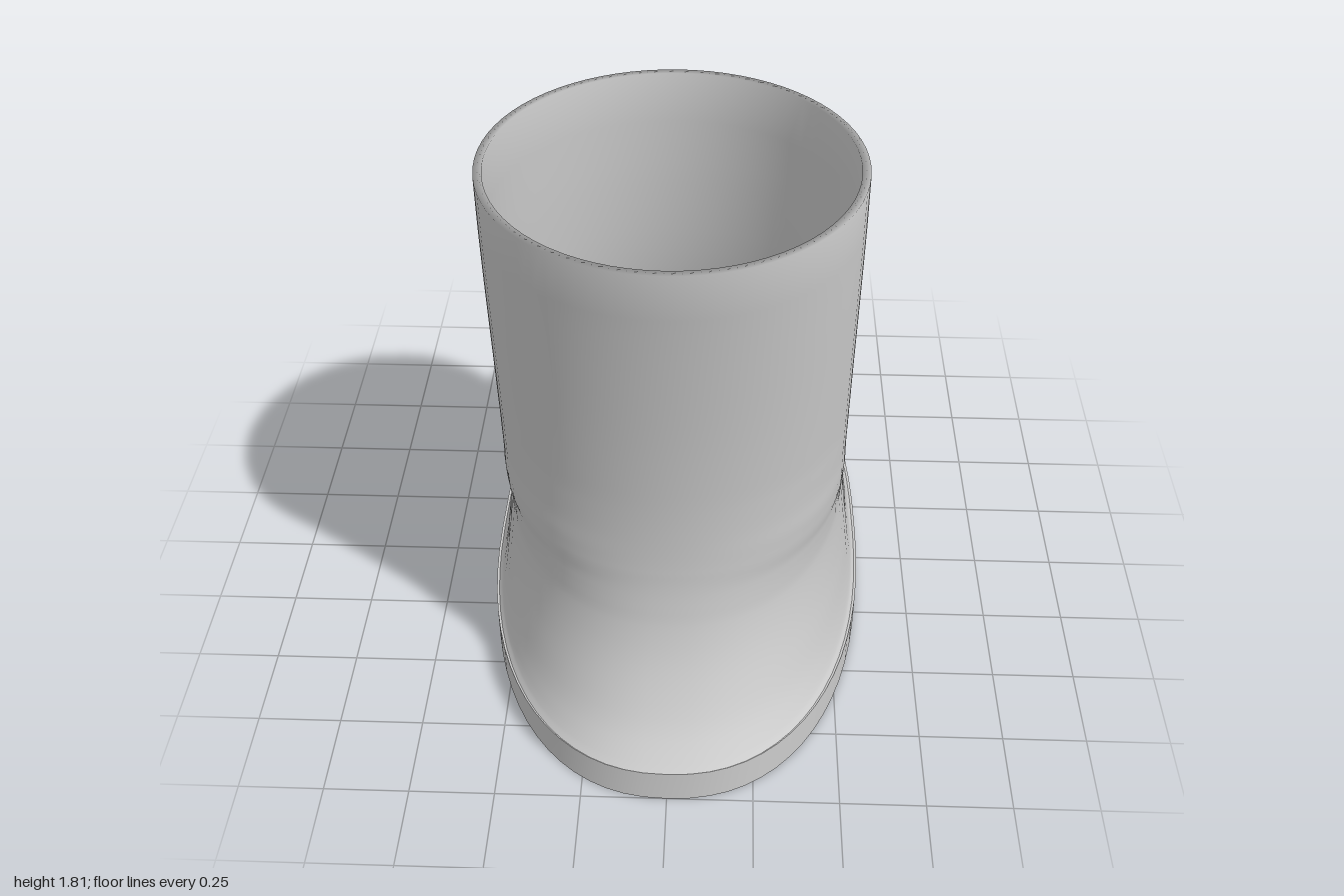
import * as THREE from 'three';
import { mergeGeometries } from 'three/addons/utils/BufferGeometryUtils.js';

const SEG = 72;

// Horizontal oval: toe end, heel end, half width, widest z, toe and heel roundness
function ring(y, toe, heel, w, mid, pToe, pHeel) {
  const pts = [];
  for (let i = 0; i < SEG; i++) {
    const a = (i / SEG) * Math.PI * 2, c = Math.cos(a), s = Math.sin(a);
    const e = 2 / (s < 0 ? pToe : pHeel);
    const reach = s < 0 ? toe - mid : heel - mid;
    pts.push([
      w * Math.sign(c) * Math.abs(c) ** e, y,
      mid + reach * Math.abs(s) ** e,
    ]);
  }
  return pts;
}

const centre = (y, z = 0) => Array.from({ length: SEG }, () => [0, y, z]);

// Skin joining a list of rings
function loft(rings) {
  const index = [];
  for (let r = 0; r < rings.length - 1; r++) {
    for (let i = 0; i < SEG; i++) {
      const j = (i + 1) % SEG, a = r * SEG + i, b = r * SEG + j;
      index.push(a, a + SEG, b, b, a + SEG, b + SEG);
    }
  }
  const g = new THREE.BufferGeometry();
  g.setAttribute('position', new THREE.Float32BufferAttribute(rings.flat(2), 3));
  g.setIndex(index);
  g.computeVertexNormals();
  return g;
}

// Profile rows: y, toe z, heel z, half width, widest z, toe roundness
const ROWS = [
  [0.11, -0.985, 1.0, 0.582, 0, 2.7],
  [0.13, -0.97, 0.98, 0.57, 0, 2.7],
  [0.2, -0.96, 0.92, 0.556, 0, 2.7],
  [0.3, -0.955, 0.865, 0.543, 0, 2.7],
  [0.4, -0.94, 0.825, 0.53, 0.02, 2.7],
  [0.5, -0.9, 0.8, 0.518, 0.06, 2.7],
  [0.56, -0.86, 0.792, 0.513, 0.11, 2.65],
  [0.6, -0.81, 0.788, 0.51, 0.15, 2.6],
  [0.63, -0.74, 0.786, 0.508, 0.18, 2.55],
  [0.66, -0.62, 0.785, 0.506, 0.22, 2.5],
  [0.69, -0.5, 0.785, 0.505, 0.25, 2.4],
  [0.72, -0.41, 0.785, 0.504, 0.27, 2.35],
  [0.76, -0.33, 0.786, 0.503, 0.29, 2.3],
  [0.82, -0.25, 0.789, 0.501, 0.3, 2.2],
  [0.9, -0.185, 0.795, 0.5, 0.32, 2.1],
  [1.0, -0.135, 0.806, 0.499, 0.34, 2],
  [1.2, -0.085, 0.835, 0.497, 0.38, 2],
  [1.45, -0.051, 0.88, 0.496, 0.42, 2],
  [1.66, -0.036, 0.922, 0.495, 0.445, 2],
  [1.81, -0.03, 0.955, 0.493, 0.46, 2],
];

// Smoothed profile, pulled inwards by the given wall thickness
function bootRings(inset) {
  const lengthwise = new THREE.CatmullRomCurve3(ROWS.map(r => new THREE.Vector3(r[1], r[0], r[2])));
  const across = new THREE.CatmullRomCurve3(ROWS.map(r => new THREE.Vector3(r[3], r[4], r[5])));
  const n = (ROWS.length - 1) * 3, out = [];
  for (let i = 0; i <= n; i++) {
    if (i === n - 1 || i === n - 2) continue; // wide last band gives a soft rim
    const l = lengthwise.getPoint(i / n), c = across.getPoint(i / n);
    const pHeel = 2 + 0.25 * (1 - THREE.MathUtils.smoothstep(l.y, 0.2, 1));
    out.push(ring(l.y, l.x + inset, l.z - inset, c.x - inset, c.y, c.z, pHeel));
  }
  return out;
}

export function createModel() {
  const boot = new THREE.Group();
  boot.name = 'boot';
  const material = new THREE.MeshStandardMaterial({ color: 0xcccccc });
  const add = (name, geometry) => {
    const mesh = new THREE.Mesh(geometry, material);
    mesh.name = name;
    boot.add(mesh);
  };

  // Outer wall, rolled rim and lining in one skin
  const lining = bootRings(0.022).reverse();
  add('upper', loft([...bootRings(0), ...lining]));

  // Floor inside the boot
  add('insole', loft([lining[lining.length - 1], centre(0.11)]));

  // Flat sole with crisp edges
  const low = ring(0, -1, 1, 0.59, 0, 2.7, 2.25);
  const high = ring(0.11, -1, 1, 0.59, 0, 2.7, 2.25);
  add('sole', mergeGeometries([
    loft([centre(0), low]),
    loft([low, high]),
    loft([high, centre(0.108)]),
  ]));

  return boot;
}
